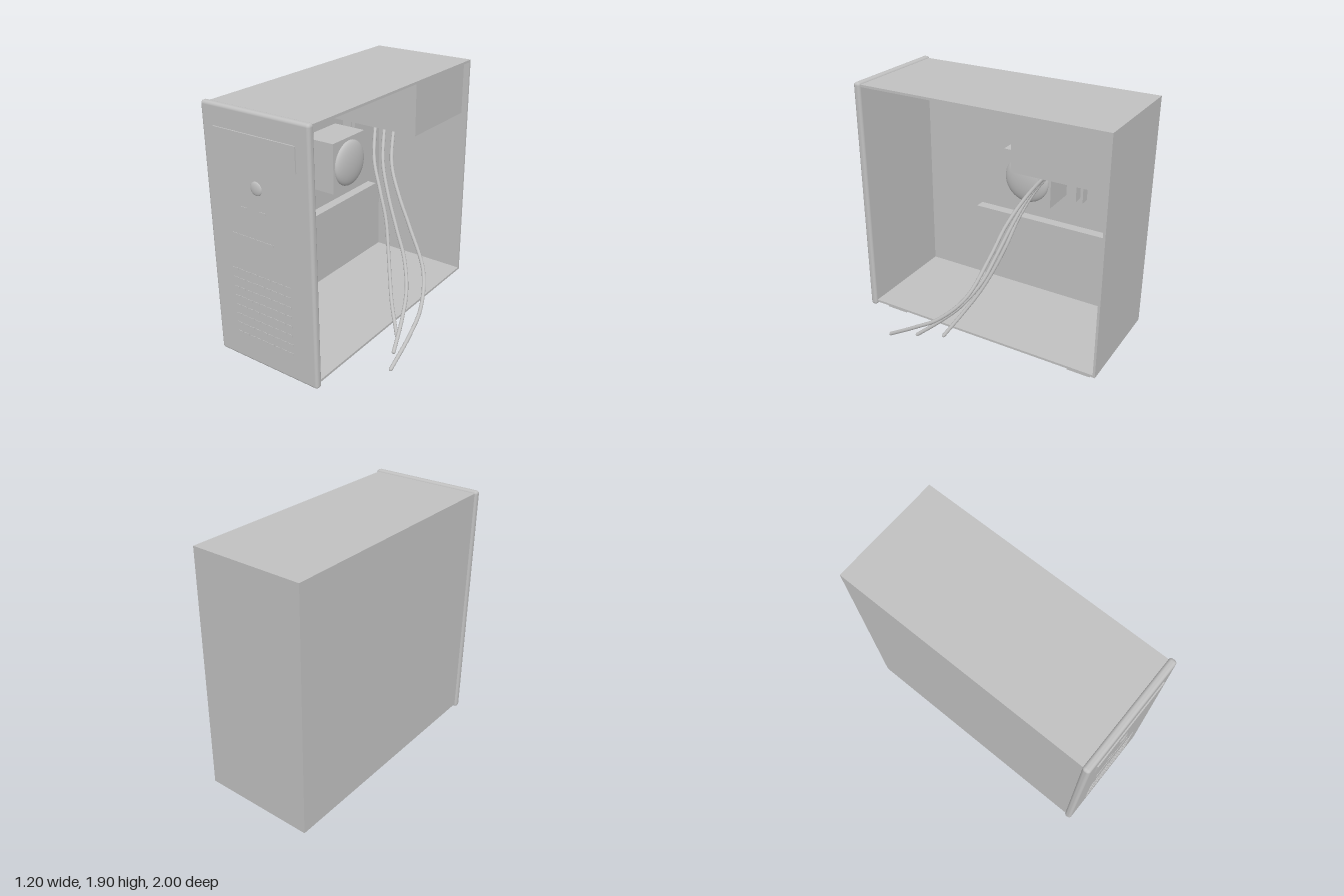
import * as THREE from 'three';
import { RoundedBoxGeometry } from 'three/addons/geometries/RoundedBoxGeometry.js';

export function createModel() {
  const model = new THREE.Group();
  model.name = 'openComputerTower';
  const grey = new THREE.MeshStandardMaterial({ color: 0xc0c0c0 });
  grey.name = 'light grey';

  const add = (name, geometry, parent = model) => {
    const mesh = new THREE.Mesh(geometry, grey);
    mesh.name = name;
    parent.add(mesh);
    return mesh;
  };
  const group = (name) => {
    const g = new THREE.Group();
    g.name = name;
    model.add(g);
    return g;
  };
  // Box given by its lower and upper limits on each axis
  const box = (name, [x0, x1], [y0, y1], [z0, z1], parent) => {
    const mesh = add(name, new THREE.BoxGeometry(x1 - x0, y1 - y0, z1 - z0), parent);
    mesh.position.set((x0 + x1) / 2, (y0 + y1) / 2, (z0 + z1) / 2);
    return mesh;
  };

  // Case shell, open on the +x side
  const shell = group('caseShell');
  box('sideWall', [-0.585, -0.567], [0.06, 1.89], [-1, 0.935], shell);
  box('topWall', [-0.567, 0.265], [1.872, 1.89], [-1, 0.935], shell);
  box('bottomWall', [-0.567, 0.265], [0.06, 0.078], [-1, 0.935], shell);
  box('backWall', [-0.567, 0.265], [0.078, 1.872], [-1, -0.982], shell);

  // Feet
  const feet = group('feet');
  for (const x of [-0.525, 0.1])
    for (const z of [0.69, -0.935])
      box('foot', [x, x + 0.105], [0, 0.06], [z, z + 0.18], feet);

  // Front panel with rounded edges
  add('frontPanel', new RoundedBoxGeometry(0.885, 1.87, 0.055, 4, 0.022))
    .position.set(-0.158, 0.97, 0.9595);

  // Drive cover, power button, indicator lights and slots
  box('driveCover', [-0.5, 0.178], [1.58, 1.755], [0.98, 0.996]);
  const button = add('powerButton', new THREE.SphereGeometry(0.049, 32, 20));
  button.scale.z = 0.3;
  button.position.set(-0.16, 1.4, 0.985);
  for (const x of [-0.28, -0.12])
    box('indicatorLight', [x - 0.025, x + 0.025], [1.23, 1.245], [0.984, 0.99]);
  box('portStrip', [-0.4, -0.04], [1.02, 1.035], [0.984, 0.99]);
  const vents = group('frontVents');
  for (let row = 0; row < 8; row++)
    for (let i = 0; i < 9; i++) {
      const x = -0.42 + i * 0.058;
      const y = 0.24 + row * 0.073;
      box('ventSlat', [x, x + 0.044], [y, y + 0.014], [0.984, 0.99], vents);
    }

  // Main board with expansion card and memory sticks
  box('mainBoard', [-0.567, -0.55], [0.23, 1.62], [-0.91, 0.8]);
  box('expansionCard', [-0.55, -0.47], [0.725, 0.757], [-0.79, 0.42]);
  for (const z of [-0.457, -0.513])
    box('memoryStick', [-0.55, -0.47], [1.0, 1.5], [z, z + 0.017]);

  // Cooler block with a domed fan
  box('coolerBlock', [-0.55, -0.27], [1.0, 1.4], [-0.34, 0.055]);
  const dome = add('coolerDome', new THREE.SphereGeometry(0.18, 40, 24));
  dome.scale.x = 0.28;
  dome.position.set(-0.27, 1.195, -0.143);

  // Power supply
  box('powerSupply', [-0.56, 0.225], [1.465, 1.868], [-0.97, -0.28]);

  // Cables hanging from the power supply out of the open side
  const cables = group('cables');
  const paths = [
    [[-0.08, 1.45, -0.465], [0.02, 1.2, -0.29], [0.15, 1, -0.2], [0.28, 0.8, -0.15],
      [0.46, 0.53, -0.06], [0.555, 0.34, 0.12], [0.583, 0.22, 0.31], [0.585, 0.075, 0.55]],
    [[-0.165, 1.45, -0.465], [-0.06, 1.2, -0.29], [0.04, 1, -0.21], [0.17, 0.76, -0.14],
      [0.28, 0.57, -0.08], [0.38, 0.38, 0.04], [0.44, 0.23, 0.19], [0.49, 0.075, 0.37]],
    [[-0.25, 1.45, -0.465], [-0.14, 1.2, -0.29], [-0.03, 1, -0.21], [0.06, 0.8, -0.16],
      [0.13, 0.6, -0.09], [0.2, 0.42, -0.01], [0.28, 0.26, 0.08], [0.4, 0.075, 0.19]],
  ];
  for (const points of paths) {
    const curve = new THREE.CatmullRomCurve3(points.map((p) => new THREE.Vector3(...p)));
    add('cable', new THREE.TubeGeometry(curve, 60, 0.014, 12), cables);
    // Rounded cable ends
    for (const t of [0, 1])
      add('cableEnd', new THREE.SphereGeometry(0.014, 12, 8), cables)
        .position.copy(curve.getPoint(t));
  }

  return model;
}
